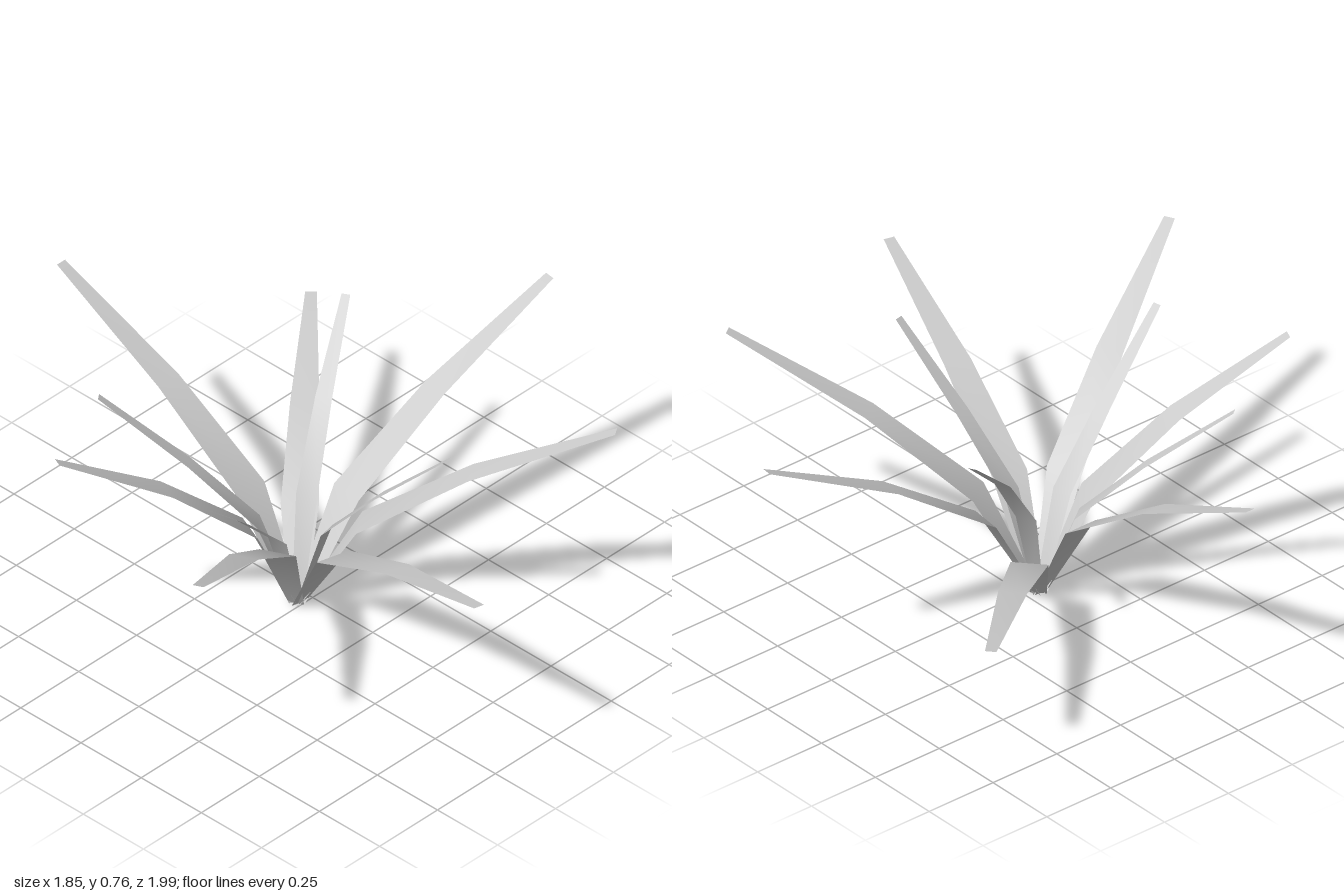
import * as THREE from 'three';

// Centre of the clump, where every blade is rooted
const ROOT = new THREE.Vector2(-0.046, -0.02);

// Share of the horizontal reach at each cross-section: root, two bends, tip
const REACH = [0.01, 0.195, 0.545, 1];

// Heights and widths at those cross-sections
const TALL = [0, 0.32, 0.55, 0.76];
const SHORT = [0, 0.3, 0.5, 0.73];
const WIDE = [0.05, 0.115, 0.088, 0.035];
const NARROW = [0.035, 0.066, 0.052, 0.027];

// Each blade: tip x, tip z, heights, widths
const BLADES = [
  [-0.047, -1.0, TALL, WIDE],
  [0.7, -0.68, [0, 0.22, 0.335, 0.41], WIDE],
  [0.435, -0.28, [0, 0.32, 0.55, 0.755], NARROW],
  [0.92, 0.1, TALL, WIDE],
  [0.5, 0.78, TALL, WIDE],
  [0.057, 0.51, [0, 0.31, 0.52, 0.755], NARROW],
  [-0.31, 0.99, [0, 0.3, 0.49, 0.655], WIDE],
  [-0.92, 0.41, TALL, WIDE],
  [-0.61, 0.1, SHORT, NARROW],
  [-0.77, -0.32, TALL, WIDE],
  [-0.41, -0.495, [0, 0.29, 0.495, 0.718], NARROW],
];

// A thin ribbon bending outwards, with its upper face as the front
function bladeGeometry(tipX, tipZ, heights, widths) {
  const span = new THREE.Vector2(tipX, tipZ).sub(ROOT);
  const side = new THREE.Vector2(-span.y, span.x).normalize();
  const positions = [];
  const index = [];
  REACH.forEach((t, i) => {
    const x = ROOT.x + span.x * t;
    const z = ROOT.y + span.y * t;
    for (const s of [-0.5, 0.5]) {
      positions.push(x + side.x * widths[i] * s, heights[i], z + side.y * widths[i] * s);
    }
    if (i > 0) {
      const a = 2 * (i - 1);
      index.push(a, a + 1, a + 2, a + 1, a + 3, a + 2);
    }
  });
  const geometry = new THREE.BufferGeometry();
  geometry.setAttribute('position', new THREE.Float32BufferAttribute(positions, 3));
  geometry.setIndex(index);
  geometry.computeVertexNormals();
  return geometry;
}

export function createModel() {
  const plant = new THREE.Group();
  plant.name = 'grassClump';
  const material = new THREE.MeshStandardMaterial({ color: 0xcccccc, side: THREE.DoubleSide });
  BLADES.forEach((blade, i) => {
    const mesh = new THREE.Mesh(bladeGeometry(...blade), material);
    mesh.name = `blade${i + 1}`;
    plant.add(mesh);
  });
  return plant;
}
